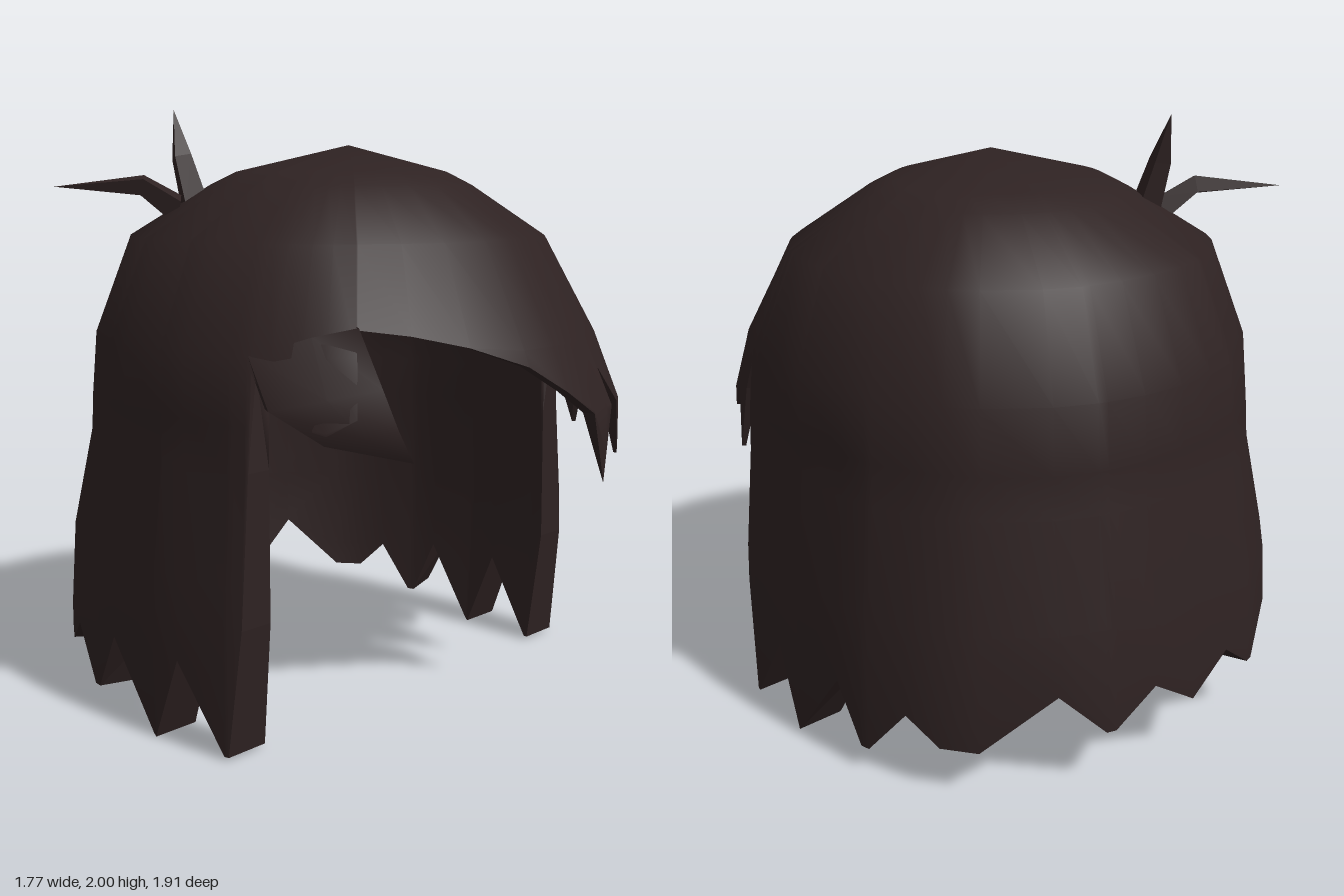
import * as THREE from 'three';
import { mergeVertices } from 'three/addons/utils/BufferGeometryUtils.js';

// Dome levels: height, half width, depth behind, depth in front, squareness behind and in front
const LEVELS = [
  [1.88, 0, 0, 0, 2, 2], [1.79, 0.36, 0.37, 0.35, 2.3, 1.85], [1.745, 0.44, 0.46, 0.45, 2.3, 1.85],
  [1.575, 0.71, 0.73, 0.69, 2.15, 2], [1.25, 0.83, 0.845, 0.875, 2.1, 2.2],
  [1.04, 0.83, 0.86, 0.965, 2.2, 2.4], [0.9, 0.835, 0.87, 0.965, 2.2, 2.4],
  [0.55, 0.875, 0.935, 0.95, 2.35, 2.35], [0.25, 0.885, 0.95, 0.94, 2.4, 2.35],
  [0, 0.885, 0.95, 0.94, 2.4, 2.35],
];

// Lower hem as [degrees from the front towards +x, height]
const FRINGE = [
  [-64.3, 1.2], [-60, 1.1], [-54, 1.05], [-49, 1.03], [-43.4, 1.08], [-43, 1.33], [-32, 1.31],
  [-20, 1.27], [-6.5, 1.2], [3, 1.11], [10, 1.03], [15.8, 0.79], [18.8, 1.02], [19.2, 1.16],
  [23.5, 1.04], [27.5, 0.85], [36, 1.15], [37, 1.04], [47.5, 0.97], [52, 1.09],
  [57.5, 0.87], [61.5, 1.1], [64.3, 1.2],
];
const SIDE = [
  [64.6, 0.9], [65.4, 0.42], [68.5, 0.01], [69.5, 0.01], [81.5, 0.28], [88.3, 0], [89, 0.01],
  [102.5, 0.28], [109, 0.08], [111, 0.08], [120, 0.25], [127, 0.16], [134.5, 0.16], [149, 0.35],
  [158.5, 0.2], [160.5, 0.2], [169.5, 0.31],
];
const HEM = [
  ...FRINGE, ...SIDE, [180, 0.2],
  ...SIDE.map(([d, y]) => [360 - d, y]).reverse(),
  [360 + FRINGE[0][0], FRINGE[0][1]],
];

// Point on the outer hair at an angle and height
function outerPoint(deg, y) {
  let i = 0;
  while (i < LEVELS.length - 2 && y < LEVELS[i + 1][0]) i++;
  const p = LEVELS[i], q = LEVELS[i + 1];
  const k = (p[0] - y) / (p[0] - q[0]);
  const [, w, back, front, nBack, nFront] = p.map((v, j) => v + (q[j] - v) * k);
  const a = THREE.MathUtils.degToRad(deg), s = Math.sin(a), c = Math.cos(a);
  const depth = c > 0 ? front : back, n = c > 0 ? nFront : nBack;
  let r = 0;
  if (w > 0) r = 1 / Math.pow(Math.pow(Math.abs(s) / w, n) + Math.pow(Math.abs(c) / depth, n), 1 / n);
  return new THREE.Vector3(r * s, y, r * c + 0.04 * Math.max(0, (y - 1.4) / 0.48));
}

// Matching inner point: thin pointed fringe, sides and back thickening towards the hem
function innerPoint(deg, y) {
  const p = outerPoint(deg, y);
  const a = THREE.MathUtils.degToRad(deg), s = Math.sin(a), c = Math.cos(a);
  const isFringe = deg < 64.5 || deg > 295.5;
  const low = Math.max(0, 1 - y / 0.9);
  const inset = Math.min(Math.hypot(p.x, p.z), isFringe
    ? 0.04 * Math.min(1, (y - 0.78) / 0.25)
    : 0.095 + (0.07 + 0.055 * Math.max(0, -c)) * low);
  p.x -= inset * s;
  if (isFringe || c < 0) p.z -= inset * c;
  p.y -= inset * Math.max(0, (y - 1.4) / 0.48);
  return p;
}

// Surface through rows of points
function grid(rows, flip = false, smooth = true) {
  const pos = [], index = [], n = rows[0].length;
  rows.forEach(row => row.forEach(p => pos.push(p.x, p.y, p.z)));
  for (let r = 0; r < rows.length - 1; r++) {
    for (let c = 0; c < n - 1; c++) {
      const a = r * n + c, b = a + n;
      for (const t of [[a, b, b + 1], [a, b + 1, a + 1]]) {
        const v = t.map(j => rows[Math.floor(j / n)][j % n]);
        if (v[0].distanceTo(v[1]) < 1e-5 || v[1].distanceTo(v[2]) < 1e-5 || v[2].distanceTo(v[0]) < 1e-5) continue;
        if (flip) t.reverse();
        index.push(...t);
      }
    }
  }
  let g = new THREE.BufferGeometry();
  g.setAttribute('position', new THREE.Float32BufferAttribute(pos, 3));
  g.setIndex(index);
  g = smooth ? mergeVertices(g, 1e-5) : g.toNonIndexed();
  g.computeVertexNormals();
  return g;
}

// Tapered four-sided spike along a path
function spike(path, radii) {
  const pts = path.map(p => new THREE.Vector3(...p));
  const dir = pts[pts.length - 1].clone().sub(pts[0]).normalize();
  const u = new THREE.Vector3(0.3, 0.2, 1).cross(dir).normalize();
  const v = dir.clone().cross(u);
  const rows = pts.map((p, i) => [0, 1, 2, 3, 4].map(k => {
    const a = k * Math.PI / 2;
    return p.clone().addScaledVector(u, Math.cos(a) * radii[i]).addScaledVector(v, Math.sin(a) * radii[i]);
  }));
  return grid(rows, true, false);
}

export function createModel() {
  const group = new THREE.Group();
  const hair = new THREE.MeshStandardMaterial({ color: 0x2e2222, side: THREE.DoubleSide });
  hair.name = 'dark brown hair';
  const add = (name, geometry) => {
    const mesh = new THREE.Mesh(geometry, hair);
    mesh.name = name;
    group.add(mesh);
  };

  // Outer and inner hair, with a rim along the jagged hem
  const shell = point => LEVELS.map(([level]) => HEM.map(([d, hem]) => point(d, Math.max(level, hem))));
  const outer = shell(outerPoint), inner = shell(innerPoint), last = LEVELS.length - 1;
  add('outerHair', grid(outer));
  add('innerHair', grid(inner, true));
  add('hemRim', grid([outer[last], inner[last]], false, false));

  // Curved lock that sweeps over the right temple
  const lock = [
    [[-0.775, 1.25, 0.36], [-0.67, 1.31, 0.52], [-0.585, 1.34, 0.63]],
    [[-0.80, 1.10, 0.47], [-0.71, 1.14, 0.62], [-0.565, 1.16, 0.71]],
    [[-0.70, 1.00, 0.60], [-0.62, 1.02, 0.69], [-0.52, 1.04, 0.73]],
    [[-0.45, 0.93, 0.73], [-0.45, 0.93, 0.73], [-0.45, 0.93, 0.73]],
  ].map(row => row.map(p => new THREE.Vector3(...p)));
  const lockBack = lock.map((row, i) => row.map(p =>
    p.clone().add(new THREE.Vector3(0.025, 0, -0.04).multiplyScalar(i < 3 ? 1 : 0))));
  add('templeLock', grid(lock));
  add('templeLockBack', grid(lockBack, true));
  for (const [side, c] of [['Outer', 0], ['Inner', 2]]) {
    add('templeLock' + side + 'Edge', grid([lock.map(r => r[c]), lockBack.map(r => r[c])], c === 0, false));
  }

  // Two stray tufts near the crown
  add('uprightTuft', spike([[-0.39, 1.68, -0.32], [-0.41, 1.84, -0.36], [-0.40, 2, -0.41]], [0.055, 0.04, 0]));
  add('sidewaysTuft', spike([[-0.46, 1.66, -0.32], [-0.56, 1.745, -0.39], [-0.785, 1.74, -0.58]], [0.06, 0.04, 0]));
  return group;
}
